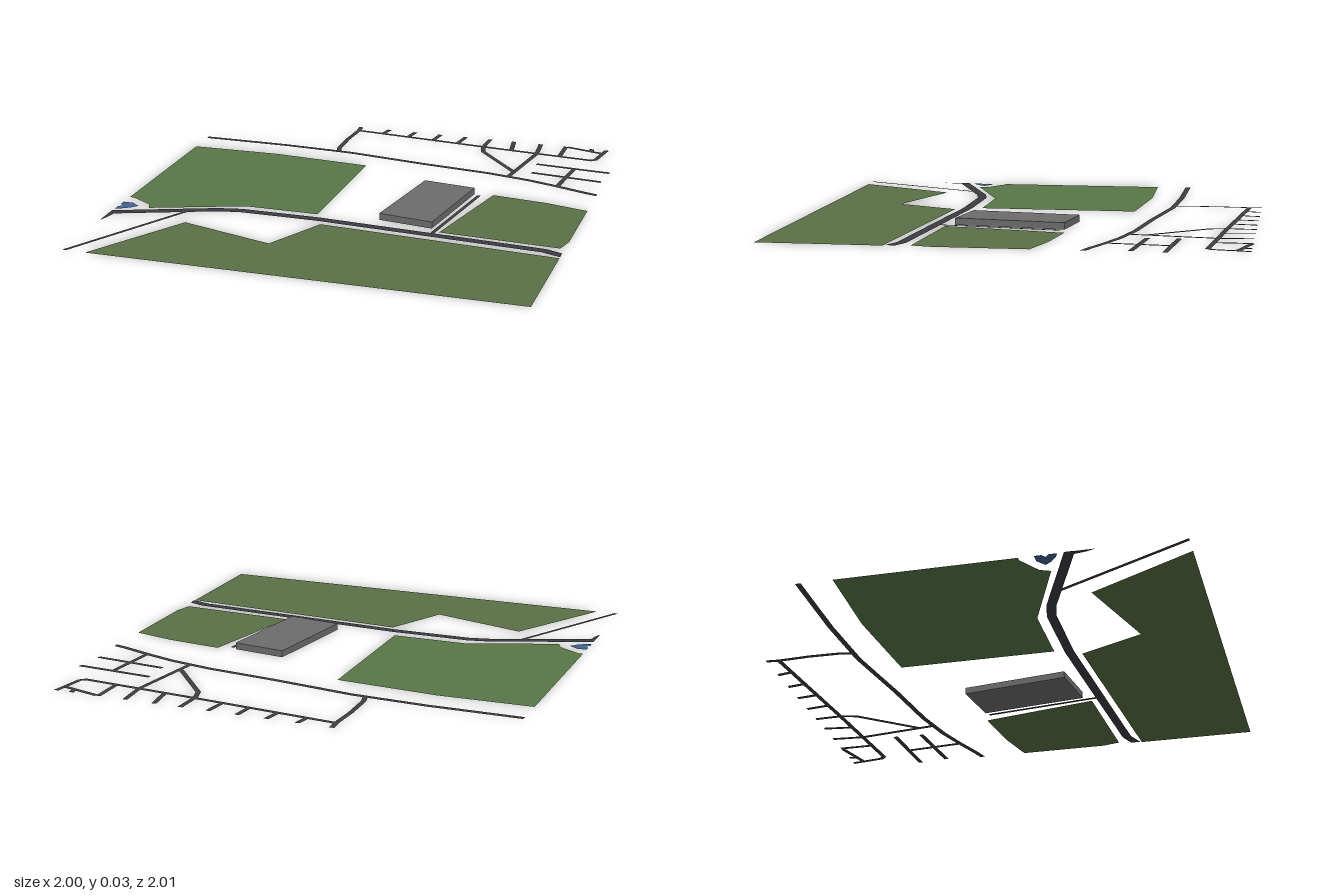
import * as THREE from 'three';

const material = (color) => new THREE.MeshStandardMaterial({ color, side: THREE.DoubleSide });
const ROAD = material(0x3e3e3e);
const MAIN_ROAD = material(0x3a3c42);
const FIELD = material(0x5a6f46);
const PARK = material(0x587747);
const WATER = material(0x3e6491);
const BUILDING = material(0x6c6c6c);

// Outline given as [x, z] pairs on the ground
const outline = (points) => new THREE.Shape(points.map(([x, z]) => new THREE.Vector2(x, -z)));

function area(name, mat, points, y = 0) {
  const mesh = new THREE.Mesh(new THREE.ShapeGeometry(outline(points)).rotateX(-Math.PI / 2), mat);
  mesh.position.y = y;
  mesh.name = name;
  return mesh;
}

// Flat mitred ribbon along a path; ends lying on the map edge are cut along that edge
function road(name, mat, width, points, y = 0.001) {
  const path = points.map(([x, z]) => new THREE.Vector2(x, z));
  const last = path.length - 1;
  const positions = [], index = [];
  path.forEach((p, i) => {
    const before = path[Math.max(i, 1)].clone().sub(path[Math.max(i, 1) - 1]).normalize();
    const j = Math.min(i, last - 1);
    const after = path[j + 1].clone().sub(path[j]).normalize();
    const dir = before.clone().add(after).normalize();
    let side = new THREE.Vector2(dir.y, -dir.x).multiplyScalar(width / 2 / Math.max(0.5, dir.dot(after)));
    if (i === 0 || i === last) {
      if (Math.abs(p.x) === 1) side.set(0, -width / 2 / dir.x);
      else if (Math.abs(p.y) === 1) side.set(width / 2 / dir.y, 0);
    }
    positions.push(p.x + side.x, 0, p.y + side.y, p.x - side.x, 0, p.y - side.y);
    if (i < last) {
      const a = i * 2;
      index.push(a, a + 2, a + 1, a + 1, a + 2, a + 3);
    }
  });
  const geometry = new THREE.BufferGeometry();
  geometry.setAttribute('position', new THREE.Float32BufferAttribute(positions, 3));
  geometry.setIndex(index);
  geometry.computeVertexNormals();
  const mesh = new THREE.Mesh(geometry, mat);
  mesh.position.y = y;
  mesh.name = name;
  return mesh;
}

export function createModel() {
  const model = new THREE.Group();
  model.name = 'districtMap';

  // Green areas and pond
  model.add(
    area('westPark', PARK, [[-1, -0.46], [-0.585, -0.47], [-0.12, -0.433], [-0.12, 0.27], [-0.457, 0.27],
      [-0.86, 0.42], [-0.88, 0.375], [-0.98, 0.315], [-1, 0.315]]),
    area('southField', FIELD, [[-0.89, 1], [-0.635, 0.54], [-0.2, 0.67], [-0.068, 0.385], [1, 0.465], [1, 1]]),
    area('eastField', FIELD, [[0.555, -0.207], [0.805, -0.177], [1, -0.13], [1, 0.27], [0.98, 0.355], [0.447, 0.325]]),
    area('pond', WATER, [[-1, 0.38], [-0.955, 0.38], [-0.915, 0.41], [-0.94, 0.44], [-0.975, 0.465], [-1, 0.475],
      [-1, 0.44], [-0.98, 0.425], [-1, 0.41]]),
  );

  // Flat-roofed building
  const block = new THREE.ExtrudeGeometry(
    outline([[0.228, -0.228], [0.47, -0.195], [0.405, 0.29], [0.158, 0.255]]),
    { depth: 0.03, bevelEnabled: false },
  ).rotateX(-Math.PI / 2);
  const building = new THREE.Mesh(block, BUILDING);
  building.name = 'building';
  model.add(building);

  // Main road with its short branch at the west edge
  model.add(
    road('mainRoad', MAIN_ROAD, 0.042, [[-1, 0.525], [-0.56, 0.355], [-0.457, 0.333], [-0.1, 0.333], [0.92, 0.405], [1, 0.435]], 0.002),
    area('mainRoadBranch', MAIN_ROAD, [[-1, 0.53], [-0.975, 0.53], [-0.985, 0.59], [-1, 0.63]], 0.001),
  );

  // Through road in the north
  model.add(road('northRoad', ROAD, 0.025, [[-1, -0.61], [-0.585, -0.61], [-0.25, -0.593], [0.136, -0.535],
    [0.457, -0.497], [0.66, -0.455], [0.805, -0.41], [0.94, -0.362], [1, -0.345]]));

  // Residential streets
  const streets = [
    [[-0.325, -1], [-0.32, -0.94], [-0.328, -0.8], [-0.325, -0.65], [-0.31, -0.595]],
    [[-0.32, -0.943], [0.35, -0.875], [0.88, -0.827], [0.9, -0.845], [0.925, -1]],
    [[-0.175, -1], [-0.19, -0.925]],
    [[-0.04, -1], [-0.055, -0.912]],
    [[0.09, -1], [0.078, -0.9]],
    [[0.22, -1], [0.205, -0.885]],
    [[0.345, -1], [0.34, -0.87], [0.36, -0.8], [0.565, -0.555]],
    [[0.465, -1], [0.483, -0.865]],
    [[0.6, -1], [0.612, -0.85], [0.56, -0.485]],
    [[0.725, -1], [0.725, -0.845]],
    [[0.735, -0.995], [0.915, -0.945]],
    [[0.853, -1], [0.858, -0.965]],
    [[0.645, -0.695], [1, -0.667]],
    [[0.65, -0.565], [0.985, -0.53]],
    [[0.83, -0.68], [0.805, -0.41]],
  ];
  for (const points of streets) model.add(road('street', ROAD, 0.022, points));

  // Narrow lanes
  model.add(
    road('buildingLane', ROAD, 0.017, [[0.495, -0.18], [0.42, 0.36]]),
    road('southWestLane', ROAD, 0.017, [[-0.68, 0.41], [-0.985, 1]]),
  );
  return model;
}
